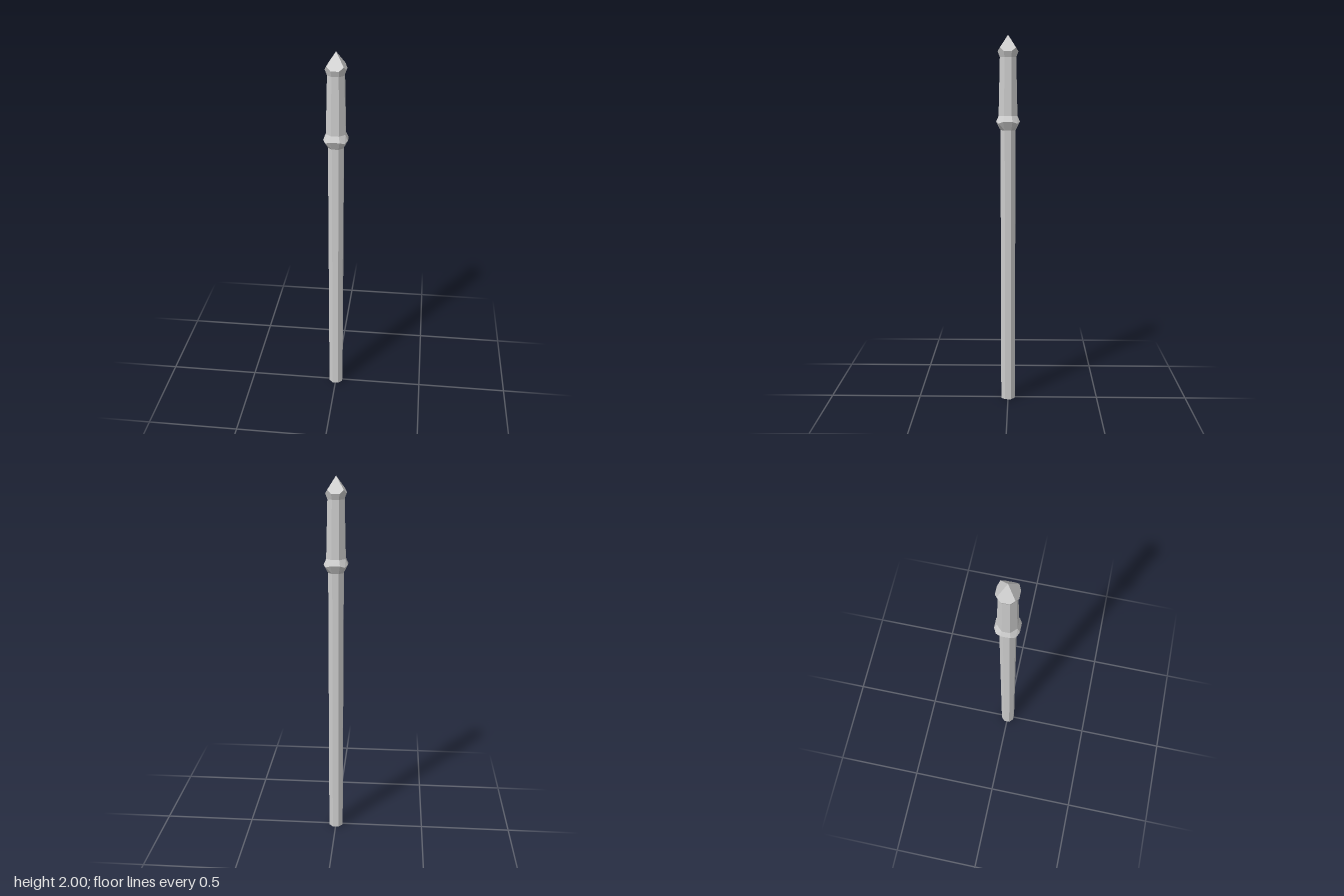
import * as THREE from 'three';

// Ring: flat sides at distance a with half width w at height y; corners at (d, yd, d).
// Left out, d is the middle of the chamfer, giving a plain octagon.
const ring = (y, a, w, d = (a + w) / 2, yd = y) => ({ y, a, w, d, yd });

// Twelve points around a ring; every third one (index 1, 4, 7, 10) is a corner.
function ringPoints({ y, a, w, d, yd }) {
  const points = [];
  for (let k = 0; k < 4; k++) {
    for (const p of [[w, y, a], [d, yd, d], [a, y, w]]) {
      points.push(new THREE.Vector3(...p).applyAxisAngle(new THREE.Vector3(0, 1, 0), k * Math.PI / 2));
    }
  }
  return points;
}

// Skin the rings from bottom to top, with optional closing points.
function loft(name, rings, { bottom, top } = {}) {
  const pos = [];
  const tri = (...ps) => ps.forEach(p => pos.push(p.x, p.y, p.z));
  const loops = rings.map(ringPoints);
  for (let r = 0; r < rings.length - 1; r++) {
    const upperFlares = rings[r + 1].d > rings[r].d;
    for (let i = 0; i < 12; i++) {
      const j = (i + 1) % 12;
      const [a, b, c, d] = [loops[r][i], loops[r][j], loops[r + 1][j], loops[r + 1][i]];
      // Fold each quad towards the corner that stands out further
      const throughAC = i % 3 === 0 ? upperFlares : !upperFlares;
      if (throughAC) { tri(a, b, c); tri(a, c, d); }
      else { tri(a, b, d); tri(b, c, d); }
    }
  }
  const first = loops[0], last = loops[loops.length - 1];
  for (let i = 0; i < 12; i++) {
    const j = (i + 1) % 12;
    if (bottom !== undefined) tri(first[j], first[i], new THREE.Vector3(0, bottom, 0));
    if (top !== undefined) tri(last[i], last[j], new THREE.Vector3(0, top, 0));
  }
  const geometry = new THREE.BufferGeometry();
  geometry.setAttribute('position', new THREE.Float32BufferAttribute(pos, 3));
  geometry.computeVertexNormals();
  const material = new THREE.MeshStandardMaterial({ color: 0xcccccc, flatShading: true });
  const mesh = new THREE.Mesh(geometry, material);
  mesh.name = name;
  return mesh;
}

export function createModel() {
  const group = new THREE.Group();
  group.name = 'post';

  // Shared rings where the parts meet
  const shaftTop = ring(1.505, 0.04, 0.017);
  const gripBottom = ring(1.58, 0.05, 0.02);
  const gripTop = ring(1.885, 0.043, 0.018);

  group.add(
    // Long chamfered shaft, slightly slimmer at the foot
    loft('shaft', [ring(0, 0.038, 0.016), shaftTop], { bottom: 0 }),
    // Flared collar
    loft('collar', [shaftTop, ring(1.55, 0.063, 0.025, 0.05, 1.541), gripBottom]),
    // Tapering upper section
    loft('upperShaft', [gripBottom, gripTop]),
    // Pointed cap: a square pyramid over a twelve-sided rim
    loft('finial', [gripTop, ring(1.915, 0.054, 0.021, 0.042, 1.934)], { top: 2 })
  );
  return group;
}
